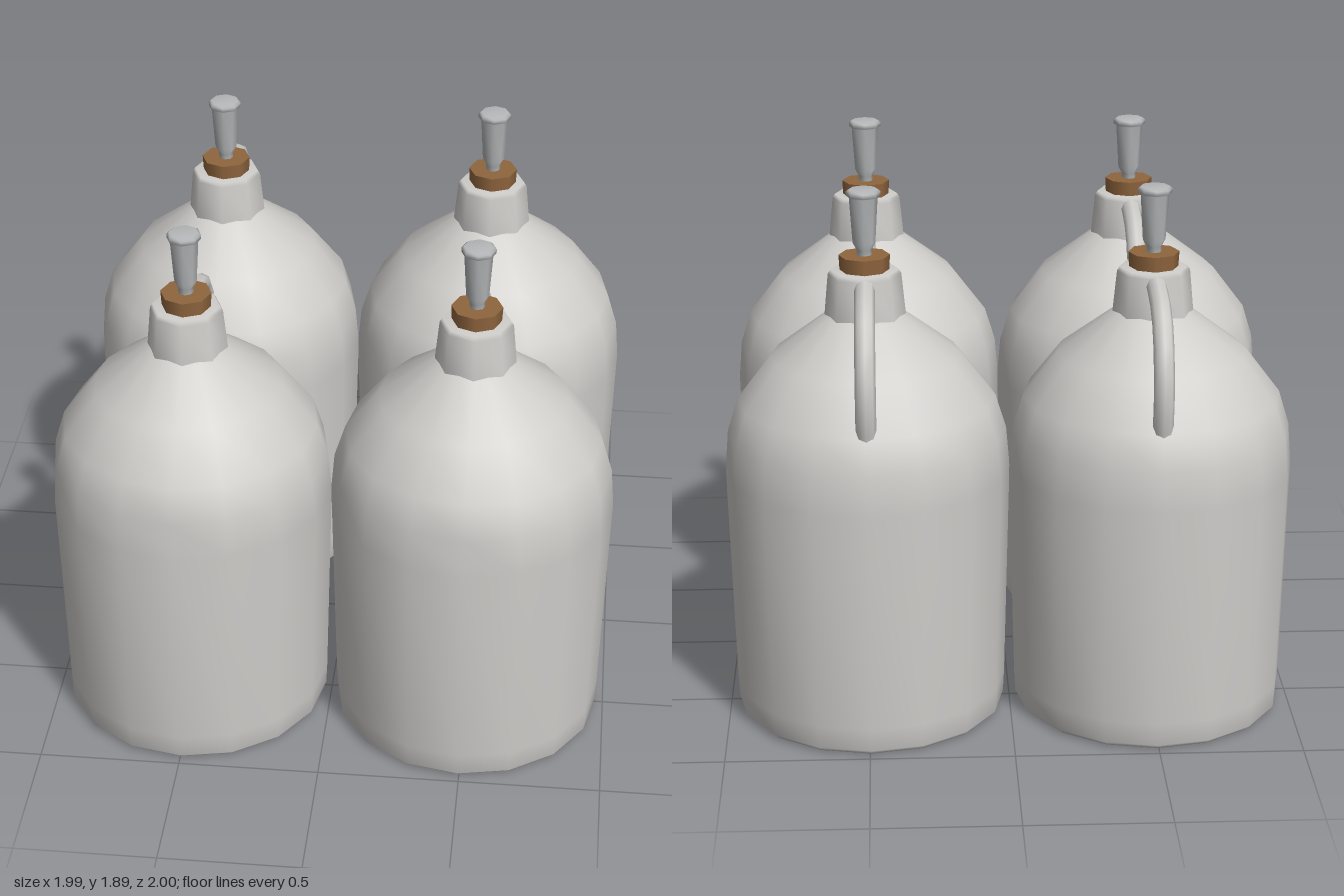
import * as THREE from 'three';
import { mergeVertices } from 'three/addons/utils/BufferGeometryUtils.js';

const material = (name, color) => {
  const m = new THREE.MeshStandardMaterial({ color });
  m.name = name;
  return m;
};

// Lathe with welded seam, so the smooth normals run all the way round
function lathe(profile, sides, adjust) {
  const g = new THREE.LatheGeometry(profile.map(([r, y]) => new THREE.Vector2(r, y)), sides);
  g.deleteAttribute('uv');
  g.deleteAttribute('normal');
  if (adjust) adjust(g.attributes.position, profile.length);
  const welded = mergeVertices(g, 1e-4);
  welded.computeVertexNormals();
  return welded;
}

export function createModel() {
  const glaze = material('pale glaze', 0xcfcdca);
  const cork = material('cork brown', 0x8f653e);
  const metal = material('stopper grey', 0xb6b8b9);

  // Body: the doubled ring at 0.89 is the ledge above the front panel
  const ledge = 6;
  const bodyGeo = lathe([
    [0.39, 0.02], [0.40, 0], [0.455, 0], [0.474, 0.018], [0.478, 0.1],
    [0.497, 0.89], [0.497, 0.89], [0.485, 1.03], [0.448, 1.15],
    [0.33, 1.305], [0.14, 1.45], [0.11, 1.465],
  ], 16, (pos, rows) => {
    for (const column of [0, 16]) pos.setZ(column * rows + ledge, 0.465);
  });

  const baseGeo = new THREE.CircleGeometry(0.392, 16);
  baseGeo.rotateX(Math.PI / 2).translate(0, 0.02, 0);

  const neckGeo = lathe([
    [0.142, 1.43], [0.139, 1.46], [0.126, 1.595], [0.117, 1.61], [0, 1.61],
  ], 8);

  // Handle sweeps back from the neck and down into the shoulder
  const path = new THREE.CatmullRomCurve3([
    [-0.08, 1.575], [-0.29, 1.533], [-0.385, 1.45], [-0.435, 1.28], [-0.4, 1.08],
  ].map(([z, y]) => new THREE.Vector3(0, y, z)));
  const handleGeo = new THREE.TubeGeometry(path, 8, 0.035, 8);

  const corkGeo = new THREE.CylinderGeometry(0.088, 0.085, 0.055, 8).translate(0, 1.6345, 0);

  const stopperGeo = lathe([
    [0.026, 1.65], [0.026, 1.68], [0.039, 1.705], [0.049, 1.865],
    [0.059, 1.87], [0.059, 1.885], [0.05, 1.892], [0, 1.892],
  ], 8);

  const parts = [
    ['body', bodyGeo, glaze], ['base', baseGeo, glaze], ['neck', neckGeo, glaze],
    ['handle', handleGeo, glaze], ['cork', corkGeo, cork], ['stopper', stopperGeo, metal],
  ];

  // Four jugs in a square
  const model = new THREE.Group();
  model.name = 'jugs';
  for (const x of [-0.496, 0.496]) {
    for (const z of [-0.503, 0.503]) {
      const jug = new THREE.Group();
      jug.name = `${z > 0 ? 'front' : 'back'}${x > 0 ? 'Left' : 'Right'}Jug`;
      for (const [name, geometry, mat] of parts) {
        const mesh = new THREE.Mesh(geometry, mat);
        mesh.name = name;
        jug.add(mesh);
      }
      jug.position.set(x, 0, z);
      model.add(jug);
    }
  }
  return model;
}
